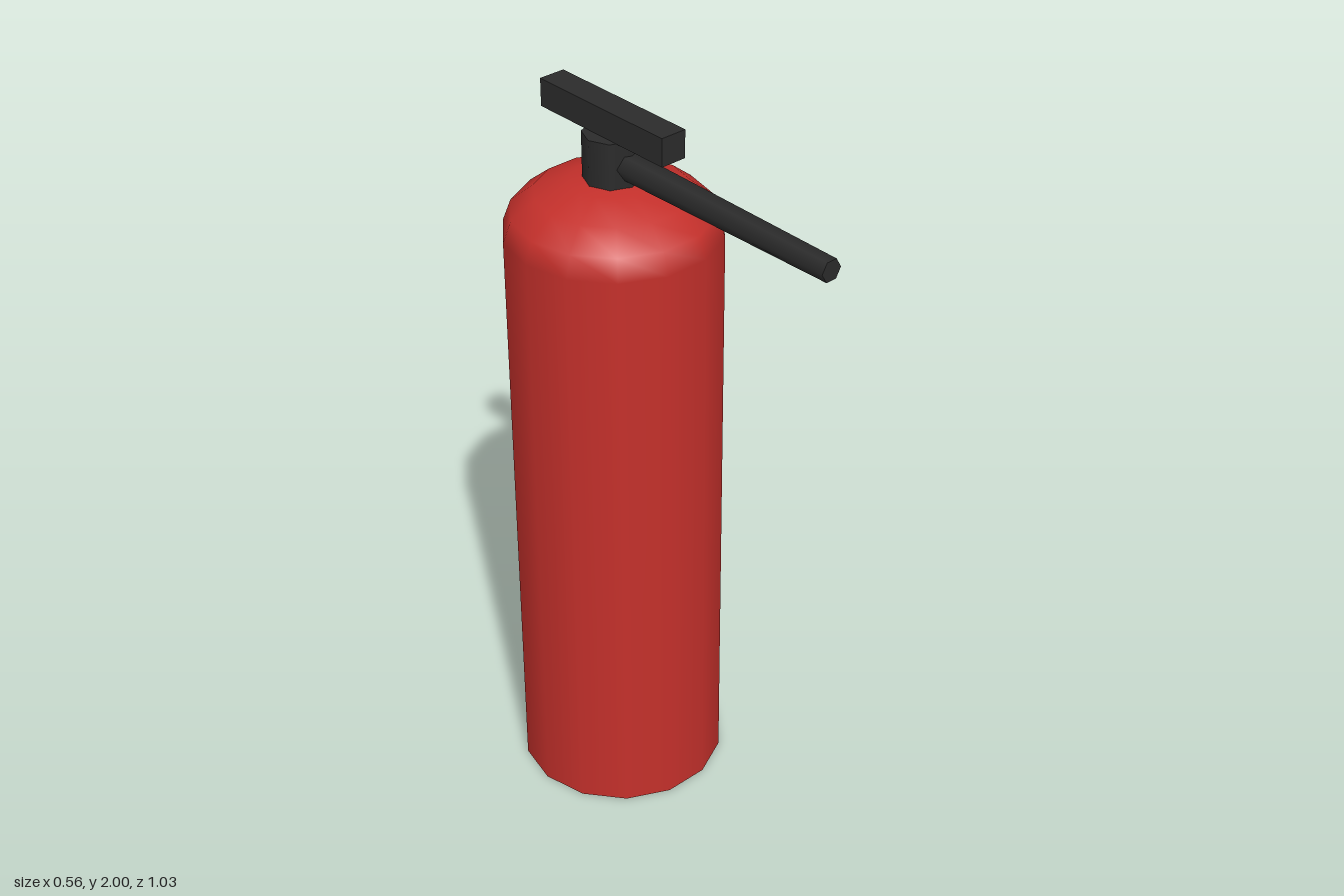
import * as THREE from 'three';

const red = new THREE.MeshStandardMaterial({ color: 0xc4302b });
const black = new THREE.MeshStandardMaterial({ color: 0x2b2b2b });

const AXIS_Z = -0.24; // centre line of the tank
const TANK_RADIUS = 0.282;
const SHOULDER_Y = 1.66;
const DOME_HEIGHT = 0.15;

export function createModel() {
  const model = new THREE.Group();
  model.name = 'fireExtinguisher';

  function add(name, geometry, material, y, z = AXIS_Z) {
    const mesh = new THREE.Mesh(geometry, material);
    mesh.name = name;
    mesh.position.set(0, y, z);
    model.add(mesh);
    return mesh;
  }

  // Cylinder whose first corner lies on the x axis
  const prism = (top, bottom, height, sides, open = false) =>
    new THREE.CylinderGeometry(top, bottom, height, sides, 1, open, Math.PI / 2);

  // Tank: straight wall, flat base and a flattened dome
  add('tank', prism(TANK_RADIUS, TANK_RADIUS, SHOULDER_Y, 14), red, SHOULDER_Y / 2);
  const dome = new THREE.SphereGeometry(TANK_RADIUS, 14, 4, 0, Math.PI * 2, 0, Math.PI / 2);
  dome.scale(1, DOME_HEIGHT / TANK_RADIUS, 1);
  add('dome', dome, red, SHOULDER_Y);

  // Valve neck and the lever bar across its top
  add('valveNeck', prism(0.075, 0.075, 0.145, 8), black, 1.853);
  add('lever', new THREE.BoxGeometry(0.074, 0.075, 0.45), black, 1.9625);

  // Tapered nozzle pointing forward out of the neck
  const nozzle = prism(0.03, 0.037, 0.715, 6);
  nozzle.rotateX(Math.PI / 2);
  add('nozzle', nozzle, black, 1.855, 0.1575);

  return model;
}
